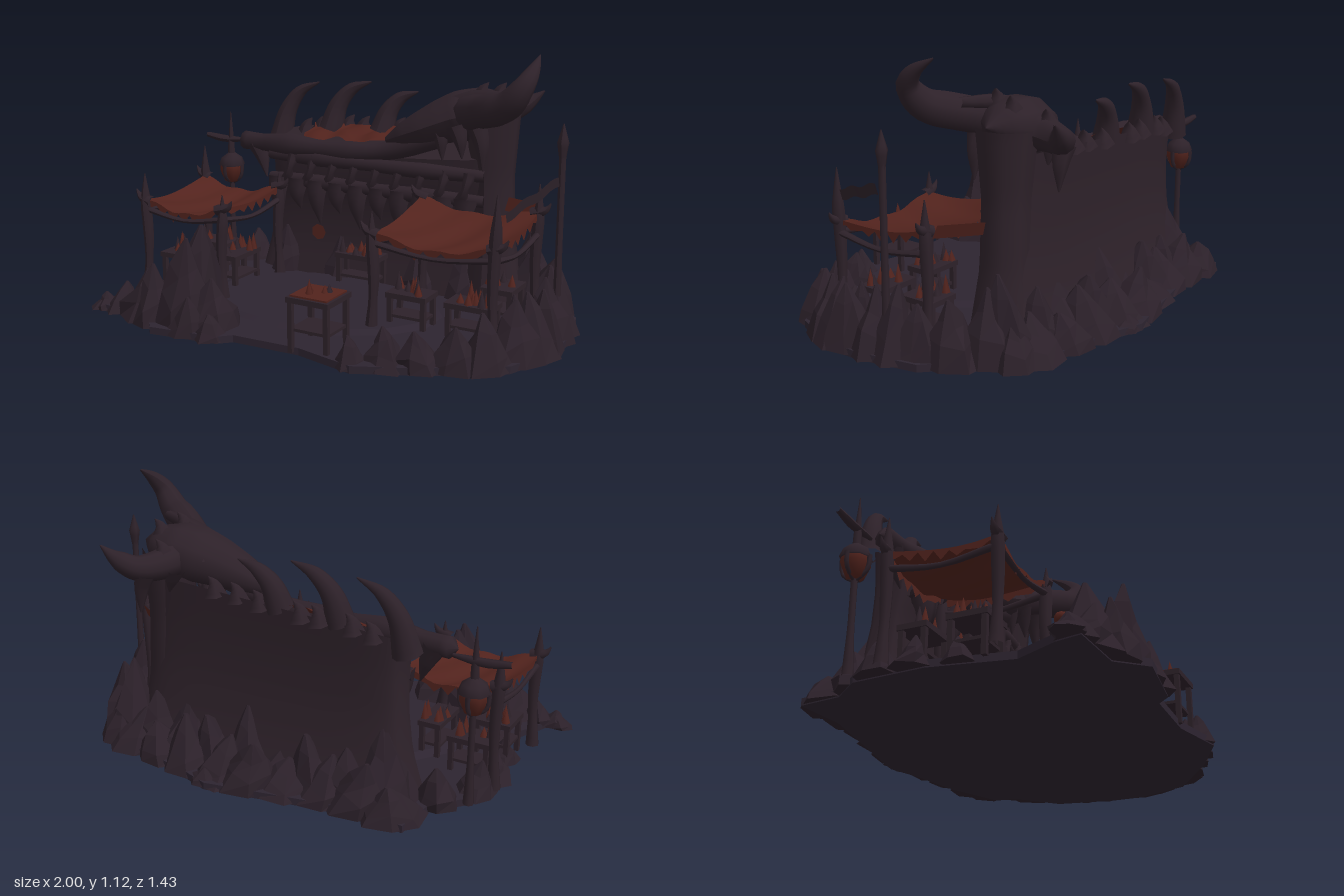
import * as THREE from 'three';

const V = (a) => new THREE.Vector3(...a);
const mat = (name, color) => Object.assign(new THREE.MeshStandardMaterial({ color }), { name });

export function createModel() {
  const root = new THREE.Group();
  root.name = 'boneMarket';
  const bone = mat('dark bone', 0x2d2129);
  const stone = mat('dark stone', 0x2b2029);
  const floorMat = mat('floor stone', 0x2d2430);
  const cloth = mat('rust cloth', 0x52231d);
  const clothOpen = cloth.clone();
  clothOpen.name = 'rust cloth sheet';
  clothOpen.side = THREE.DoubleSide;
  const boneOpen = bone.clone();
  boneOpen.name = 'dark banner sheet';
  boneOpen.side = THREE.DoubleSide;

  let seed = 7;
  const rand = () => ((seed = (seed * 16807) % 2147483647) / 2147483647);
  const add = (name, geo, m, x = 0, y = 0, z = 0) => {
    const mesh = new THREE.Mesh(geo, m);
    mesh.name = name;
    mesh.position.set(x, y, z);
    root.add(mesh);
    return mesh;
  };
  const box = (name, w, h, d, x, y, z, m = bone) => add(name, new THREE.BoxGeometry(w, h, d), m, x, y, z);
  const lerpAt = (list, t) => {
    const f = t * (list.length - 1), i = Math.min(Math.floor(f), list.length - 2);
    return THREE.MathUtils.lerp(list[i], list[i + 1], f - i);
  };

  // Tube whose radius follows a list, used for horns, beams, ribs and poles; blunt closes its start
  const taper = (name, pts, radii, m = bone, seg = 16, sides = 9, blunt = false) => {
    const curve = new THREE.CatmullRomCurve3(pts.map(V));
    const geo = new THREE.TubeGeometry(curve, seg, 1, sides);
    const p = geo.attributes.position, v = new THREE.Vector3();
    for (let i = 0; i < p.count; i++) {
      const ring = Math.floor(i / (sides + 1)), u = ring / seg, c = curve.getPointAt(u);
      v.fromBufferAttribute(p, i).sub(c).multiplyScalar(blunt && ring === 0 ? 0 : lerpAt(radii, u)).add(c);
      p.setXYZ(i, v.x, v.y, v.z);
    }
    geo.computeVertexNormals();
    return add(name, geo, m);
  };

  // Jagged leaning rock peak with faceted sides
  const rock = (x, z, r, h, lean = 0.35) => {
    let geo = new THREE.CylinderGeometry(r * 0.06, r, h, 7, 3);
    const p = geo.attributes.position, s = rand() * 20;
    const lx = (rand() - 0.5) * lean * r * 2, lz = (rand() - 0.5) * lean * r * 2;
    for (let i = 0; i < p.count; i++) {
      const px = p.getX(i), py = p.getY(i), pz = p.getZ(i), t = py / h + 0.5;
      const n = 1 + 0.25 * Math.sin(px * 5 / r + s + t * 4) * Math.cos(pz * 4 / r + s * 2);
      const pinch = 1 + 0.15 * Math.sin(t * Math.PI);
      p.setXYZ(i, px * n * pinch + lx * t, py + (t > 0.1 && t < 0.95 ? 0.1 * h * Math.sin(px * 6 / r + s) : 0), pz * n * pinch + lz * t);
    }
    geo = geo.toNonIndexed();
    geo.computeVertexNormals();
    add('rock', geo, stone, x, h / 2 + 0.005, z);
  };

  // Ground slab
  const outline = [[-0.72, -0.6], [-0.5, -0.58], [-0.2, -0.64], [0.1, -0.7], [0.25, -0.65], [0.5, -0.6], [0.74, -0.5], [0.76, -0.4],
    [0.92, -0.25], [0.97, 0], [0.97, 0.15], [0.88, 0.38], [0.6, 0.56], [0.36, 0.67], [0.1, 0.61], [-0.2, 0.62], [-0.25, 0.67],
    [-0.55, 0.71], [-0.65, 0.6], [-0.9, 0.59], [-0.88, 0.49], [-0.8, 0.32], [-0.86, 0], [-0.84, -0.3], [-0.74, -0.42]];
  const slab = new THREE.ExtrudeGeometry(new THREE.Shape(outline.map(([x, z]) => new THREE.Vector2(x, -z))), { depth: 0.03, bevelEnabled: false });
  add('ground', slab.rotateX(-Math.PI / 2), floorMat);
  const paving = new THREE.CylinderGeometry(0.42, 0.47, 0.02, 14).scale(1.2, 1, 0.8);
  add('paving', paving, floorMat, -0.1, 0.035, 0.1);

  // Rocks around the edge: x, z, radius, height
  [[-0.53, 0.47, 0.18, 0.4], [-0.47, 0.58, 0.13, 0.38], [-0.7, 0.53, 0.14, 0.21], [-0.36, 0.55, 0.13, 0.22], [-0.6, 0.6, 0.1, 0.25],
    [-0.84, 0.54, 0.08, 0.12], [-0.3, 0.62, 0.08, 0.1], [-0.9, 0.55, 0.06, 0.07], [-0.66, 0.4, 0.1, 0.18], [-0.42, 0.63, 0.08, 0.16],
    [0.33, 0.6, 0.07, 0.12], [0.45, 0.55, 0.09, 0.15], [0.57, 0.5, 0.1, 0.15], [0.68, 0.44, 0.1, 0.17], [0.78, 0.37, 0.11, 0.21],
    [0.85, 0.27, 0.11, 0.24], [0.89, 0.18, 0.1, 0.25], [0.89, 0.08, 0.11, 0.25], [0.89, 0, 0.1, 0.26], [0.86, -0.1, 0.11, 0.28],
    [0.84, -0.2, 0.11, 0.22], [0.77, -0.3, 0.12, 0.25], [0.67, -0.4, 0.12, 0.28], [0.66, -0.5, 0.1, 0.18], [0.8, 0.13, 0.08, 0.22],
    [-0.84, 0.12, 0.06, 0.1], [-0.86, -0.05, 0.07, 0.12], [-0.84, -0.2, 0.08, 0.14], [-0.74, -0.34, 0.1, 0.16], [-0.94, 0.55, 0.06, 0.05]]
    .forEach((r) => rock(...r));
  // Double row of broad rocks along the back
  for (let i = 0; i < 9; i++) {
    const x = -0.64 + i * 0.15, bulge = 0.06 * Math.exp(-(((x - 0.12) / 0.3) ** 2));
    rock(x, -0.52 - bulge + (rand() - 0.5) * 0.04, 0.13, 0.12 + rand() * 0.1);
    rock(x + 0.06, -0.45 - bulge * 0.4, 0.13, 0.2 + rand() * 0.13);
  }
  rock(0.12, -0.63, 0.08, 0.06);

  // Back wall: rounded slab, hollow in front, flared at the rear foot, top sloping to the front
  const wall = new THREE.CylinderGeometry(1, 1, 1, 40, 10);
  const wp = wall.attributes.position;
  for (let i = 0; i < wp.count; i++) {
    const x = wp.getX(i), z = wp.getZ(i), t = wp.getY(i) + 0.5;
    const sq = (a) => Math.sign(a) * Math.pow(Math.abs(a), 0.4);
    const wx = -0.02 + sq(x) * lerpAt([0.64, 0.6, 0.58, 0.57, 0.58], t);
    const wz = -0.335 + sq(z) * lerpAt(z > 0 ? [0.11, 0.07, 0.07, 0.1, 0.1] : [0.18, 0.13, 0.105, 0.1, 0.11], t);
    wp.setXYZ(i, wx, 0.02 + t * (0.7 + 0.06 * wx) - 0.5 * (wz + 0.435) * t ** 4, wz);
  }
  wall.computeVertexNormals();
  add('wall', wall, bone);
  taper('wallEndPost', [[0.51, 0.02, -0.335], [0.5, 0.4, -0.335], [0.49, 0.84, -0.335]], [0.14, 0.1, 0.095, 0.12]);

  // Blunt spine beam along the front of the wall top, with curved spikes behind it
  taper('spineBeam', [[-0.775, 0.625, -0.27], [-0.66, 0.625, -0.26], [-0.5, 0.63, -0.24], [0, 0.645, -0.235], [0.3, 0.74, -0.26]],
    [0.045, 0.04, 0.055, 0.04, 0.048, 0.04, 0.048, 0.05], bone, 36, 9, true);
  taper('beamTusk', [[-0.68, 0.62, -0.27], [-0.65, 0.55, -0.27], [-0.62, 0.46, -0.26]], [0.05, 0.03, 0.003]);
  [[-0.63, 0.62, 0.19, 0.28], [-0.35, 0.69, 0.19, 0.23], [-0.08, 0.7, 0.16, 0.19]].forEach(([x, y, w, h]) =>
    taper('spineSpike', [[x, y, -0.4], [x + w * 0.16, y + h * 0.5, -0.42], [x + w * 0.48, y + h * 0.83, -0.44], [x + w, y + h, -0.45]],
      [0.06, 0.045, 0.03, 0.003]));

  // Ribbed frieze and hanging teeth on the wall face
  [0.585, 0.475].forEach((y) => taper('friezeRail', [[-0.58, y - 0.005, -0.24], [-0.2, y, -0.215], [0.2, y, -0.215], [0.5, y, -0.24]],
    [0.025, 0.036, 0.028, 0.036, 0.025], bone, 24));
  for (let i = 0; i < 9; i++) {
    const x = -0.48 + i * 0.11;
    taper('rib', [[x, 0.475, -0.22], [x + 0.03, 0.53, -0.195], [x + 0.04, 0.59, -0.22]], [0.03, 0.016, 0.03], bone, 8, 7);
  }
  for (let i = 0; i < 10; i++) {
    const x = -0.52 + i * 0.105;
    taper('hangingTooth', [[x, 0.48, -0.22], [x, 0.41, -0.205], [x + 0.01, 0.28 + (i % 2) * 0.06, -0.22]], [0.055, 0.035, 0.003], bone, 8, 7);
  }
  [-0.5, -0.22, 0.2, 0.4].forEach((x) => rock(x, -0.26, 0.09, 0.24));

  // Ragged cloth lying on the sloping wall top between beam and spikes
  const drape = new THREE.PlaneGeometry(0.46, 1, 22, 6), dp = drape.attributes.position;
  for (let i = 0; i < dp.count; i++) {
    const x = dp.getX(i), v = 0.5 - dp.getY(i);
    const z = -0.41 + v * (0.115 + 0.02 * Math.sin(x * 23)) + 0.012 * (1 - v) * Math.sin(x * 37);
    dp.setXYZ(i, x - 0.22 + 0.015 * Math.sin(v * 9), 0.517 - 0.5 * z + 0.06 * x + 0.007 * Math.sin(x * 40 + v * 3), z);
  }
  drape.computeVertexNormals();
  add('wallDrape', drape, clothOpen);

  // Horned skull on the right end, snout pointing left
  const skull = taper('skull', [[0.03, 0.7, -0.25], [0.2, 0.765, -0.27], [0.36, 0.825, -0.31], [0.5, 0.85, -0.33], [0.62, 0.86, -0.33]],
    [0.015, 0.055, 0.08, 0.1, 0.115, 0.11, 0.08, 0], bone, 28, 10);
  skull.scale.z = 1.2;
  skull.position.z = 0.06;
  taper('browRidge', [[0.1, 0.75, -0.26], [0.28, 0.86, -0.26], [0.45, 0.92, -0.25], [0.6, 0.935, -0.2]], [0.01, 0.03, 0.035, 0.02], bone, 14, 6);
  taper('frontHorn', [[0.42, 0.85, -0.25], [0.55, 0.885, -0.14], [0.66, 0.925, -0.075], [0.725, 1.0, -0.06], [0.745, 1.06, -0.11], [0.74, 1.115, -0.2]],
    [0.08, 0.07, 0.07, 0.055, 0.032, 0.003], bone, 24, 10);
  taper('backHorn', [[0.42, 0.83, -0.36], [0.43, 0.82, -0.48], [0.48, 0.82, -0.57], [0.55, 0.86, -0.61], [0.61, 0.91, -0.63]],
    [0.08, 0.065, 0.055, 0.04, 0.003], bone, 20, 10);
  [[0.5, -0.19, 0.62], [0.4, -0.2, 0.66], [0.3, -0.22, 0.64], [0.22, -0.24, 0.67], [0.47, -0.56, 0.63], [0.4, -0.46, 0.7]].forEach(([x, z, y]) =>
    taper('skullTusk', [[x - 0.02, 0.8, z], [x, 0.74, z], [x + 0.01, y, z]], [0.045, 0.028, 0.003], bone, 8, 7));
  // Small spikes along the skull and wall crest
  [[0.3, 0.86, -0.37], [0.46, 0.93, -0.27], [0.5, 0.92, -0.37], [0.42, 0.87, -0.47], [0.1, 0.73, -0.42], [-0.01, 0.72, -0.43],
    [-0.2, 0.71, -0.44], [-0.28, 0.71, -0.44], [-0.42, 0.7, -0.43], [-0.5, 0.68, -0.42], [0.04, 0.7, -0.3], [0.2, 0.74, -0.43]].forEach(([x, y, z]) =>
    taper('crestSpike', [[x, y - 0.03, z], [x + 0.01, y + 0.02, z], [x + 0.03, y + 0.05, z - 0.01]], [0.05, 0.028, 0.002], bone, 6, 5));

  // Stall: sagging awning on four spiked posts, with a ragged hem
  const stall = (x0, x1, z0, z1, yBack, yFront, postTops) => {
    const w = x1 - x0, d = z1 - z0, cx = (x0 + x1) / 2, cz = (z0 + z1) / 2;
    const height = (u, v) => THREE.MathUtils.lerp(yBack, yFront, v) - 0.05 * Math.sin(Math.PI * u) - 0.03 * Math.sin(Math.PI * v)
      + 0.006 * Math.sin(u * 17 + v * 5);
    const geo = new THREE.PlaneGeometry(w, d, 14, 14).rotateX(-Math.PI / 2);
    const p = geo.attributes.position;
    for (let i = 0; i < p.count; i++) p.setY(i, height(p.getX(i) / w + 0.5, p.getZ(i) / d + 0.5));
    geo.computeVertexNormals();
    add('awning', geo, clothOpen, cx, 0, cz);
    [[0, 0], [1, 0], [0, 1], [1, 1]].forEach(([u, v], i) => {
      const x = x0 + u * w, z = z0 + v * d, s = u ? 1 : -1;
      taper('stallPost', [[x, 0.02, z], [x - s * 0.01, 0.25, z], [x, postTops[i] - 0.1, z], [x, postTops[i], z]], [0.028, 0.018, 0.024, 0.026, 0.002], bone, 14, 7);
      taper('postBarb', [[x - s * 0.03, height(u, v) - 0.01, z], [x + s * 0.03, height(u, v) + 0.01, z], [x + s * 0.05, height(u, v) + 0.04, z]], [0.025, 0.02, 0.002], bone, 6, 6);
    });
    // Hem strips along all four sides
    for (let side = 0; side < 4; side++) {
      const hem = new THREE.PlaneGeometry(1, 1, 14, 1), q = hem.attributes.position;
      for (let i = 0; i < q.count; i++) {
        const s = q.getX(i) + 0.5, e = side % 2, low = q.getY(i) < 0;
        const [u, v] = side < 2 ? [s, e] : [e, s];
        q.setXYZ(i, x0 + u * w, height(u, v) - (low ? 0.025 + 0.02 * Math.sin(s * 40) : 0), z0 + v * d);
      }
      hem.computeVertexNormals();
      add('awningHem', hem, clothOpen);
    }
    [[x0, z1, x1, z1], [x0, z0, x0, z1], [x1, z0, x1, z1]].forEach(([ax, az, bx, bz]) =>
      taper('stallBeam', [[ax, yFront - 0.05, az], [(ax + bx) / 2, yFront - 0.08, (az + bz) / 2], [bx, yFront - 0.05, bz]], [0.014, 0.01, 0.014], bone, 8, 6));
  };
  stall(-0.9, -0.48, -0.15, 0.29, 0.46, 0.44, [0.6, 0.52, 0.55, 0.5]);
  stall(0.24, 0.77, -0.17, 0.28, 0.49, 0.44, [0.5, 0.6, 0.52, 0.65]);
  // Torn cloth tying the right awning back to the wall end
  const tie = new THREE.PlaneGeometry(1, 1, 6, 2), tp = tie.attributes.position;
  for (let i = 0; i < tp.count; i++) {
    const s = tp.getX(i) + 0.5, v = tp.getY(i);
    tp.setXYZ(i, 0.57 + 0.18 * s, 0.465 + 0.012 * s + v * 0.055, -0.3 + 0.1 * s - v * 0.025);
  }
  tie.computeVertexNormals();
  add('awningTie', tie, clothOpen);

  // Tables with legs and piled goods
  const table = (x, z, w, d, h, red, goods) => {
    box('tableTop', w, 0.022, d, x, h, z);
    if (red) box('tableCloth', w * 0.86, 0.008, d * 0.86, x, h + 0.014, z, cloth);
    for (const sx of [-1, 1]) for (const sz of [-1, 1])
      box('tableLeg', 0.02, h, 0.02, x + sx * (w / 2 - 0.015), h / 2 + 0.01, z + sz * (d / 2 - 0.015));
    box('tableShelf', w * 0.9, 0.012, d * 0.8, x, h * 0.45, z);
    for (let i = 0; i < goods; i++) {
      const gh = 0.03 + rand() * 0.05;
      add('goods', new THREE.ConeGeometry(0.018, gh, 5), i % 3 === 2 ? bone : cloth,
        x + (rand() - 0.5) * w * 0.8, h + 0.01 + gh / 2, z + (rand() - 0.5) * d * 0.7);
    }
  };
  table(0.15, 0.54, 0.19, 0.18, 0.225, true, 4);
  table(-0.07, -0.19, 0.22, 0.1, 0.17, false, 14);
  table(0.36, 0.16, 0.18, 0.12, 0.16, false, 9);
  table(0.63, 0.16, 0.2, 0.12, 0.16, false, 10);
  table(0.66, -0.08, 0.14, 0.16, 0.17, false, 8);
  table(-0.79, 0.16, 0.16, 0.16, 0.17, false, 9);
  table(-0.77, -0.06, 0.18, 0.12, 0.17, false, 8);
  table(-0.57, 0.05, 0.1, 0.2, 0.17, false, 7);
  add('rockCloth', new THREE.IcosahedronGeometry(0.045, 1).scale(1.2, 0.6, 0.8), cloth, -0.6, 0.21, 0.41);
  add('wallPatch', new THREE.CircleGeometry(0.038, 7), clothOpen, -0.33, 0.23, -0.25);

  // Hanging lantern on a crossed spike: dark cap over a red body
  const lx = -0.86, lz = -0.31;
  taper('lanternPole', [[lx, 0.02, lz], [lx, 0.4, lz], [lx, 0.66, lz], [lx, 0.745, lz]], [0.022, 0.013, 0.013, 0.018, 0.002], bone, 14, 7);
  taper('lanternCrossbar', [[-1, 0.622, lz], [-0.9, 0.61, lz], [-0.77, 0.615, lz]], [0.012, 0.018, 0.016, 0.008], bone, 8, 6);
  const turned = (pts) => new THREE.LatheGeometry(pts.map((a) => new THREE.Vector2(...a)), 8);
  add('lanternBody', turned([[0, -0.08], [0.035, -0.07], [0.058, -0.015], [0.056, 0.01]]), cloth, lx, 0.475, lz);
  add('lanternCap', turned([[0.05, 0.005], [0.064, 0.01], [0.05, 0.045], [0.022, 0.065], [0, 0.08]]), bone, lx, 0.475, lz);
  for (let i = 0; i < 4; i++) {
    const a = i * Math.PI / 2, sx = Math.sin(a), cz = Math.cos(a);
    taper('lanternRib', [[lx + 0.06 * sx, 0.49, lz + 0.06 * cz], [lx + 0.052 * sx, 0.43, lz + 0.052 * cz], [lx, 0.39, lz]], [0.01, 0.009, 0.006], bone, 6, 5);
  }

  // Tall spear with a trailing banner
  taper('spearPole', [[0.89, 0.02, -0.08], [0.89, 0.4, -0.08], [0.89, 0.75, -0.08]], [0.018, 0.014, 0.014], bone, 10, 7);
  taper('spearHead', [[0.89, 0.72, -0.08], [0.89, 0.8, -0.08], [0.89, 0.87, -0.08]], [0.012, 0.024, 0.002], bone, 8, 6);
  const banner = new THREE.PlaneGeometry(1, 1, 12, 2), bp = banner.attributes.position;
  for (let i = 0; i < bp.count; i++) {
    const s = bp.getX(i) + 0.5, v = bp.getY(i);
    bp.setXYZ(i, 0.89 - 0.1 * s, 0.645 - 0.09 * s + 0.006 * Math.sin(s * 12) + v * 0.04, -0.05 + 0.29 * s + v * 0.015);
  }
  banner.computeVertexNormals();
  add('banner', banner, boneOpen);
  return root;
}
